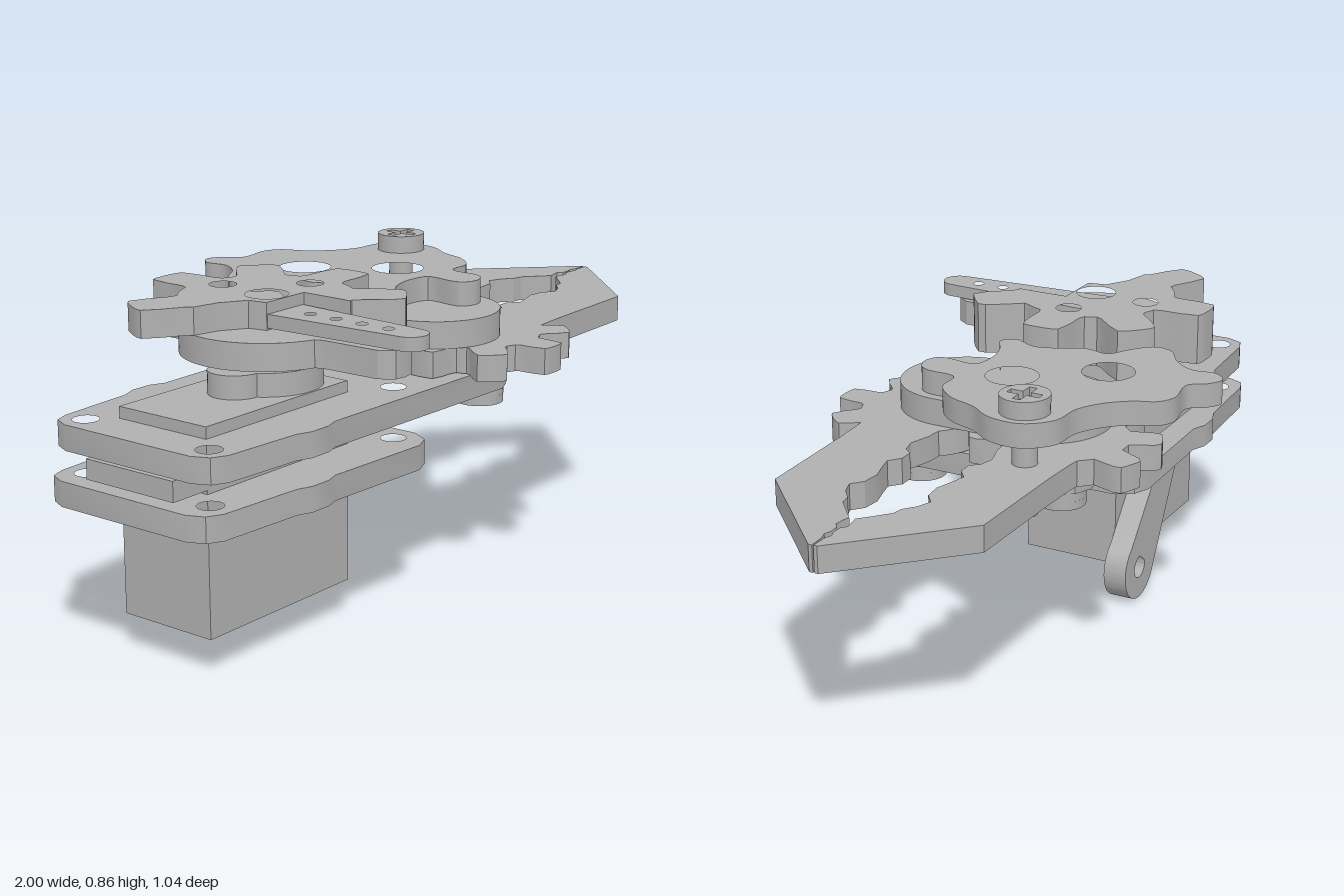
import * as THREE from 'three';
import { toCreasedNormals } from 'three/addons/utils/BufferGeometryUtils.js';

const metal = new THREE.MeshStandardMaterial({ color: 0xb0b0b0 });
metal.name = 'plainGrey';

export function createModel() {
  const model = new THREE.Group();
  model.name = 'servoGripper';

  function add(geometry, name, parent = model) {
    const mesh = new THREE.Mesh(geometry, metal);
    mesh.name = name;
    parent.add(mesh);
    return mesh;
  }
  function box(name, x0, x1, y0, y1, z0, z1) {
    add(new THREE.BoxGeometry(x1 - x0, y1 - y0, z1 - z0), name)
      .position.set((x0 + x1) / 2, (y0 + y1) / 2, (z0 + z1) / 2);
  }
  function cylinder(name, r, x, z, y0, y1, parent) {
    add(new THREE.CylinderGeometry(r, r, y1 - y0, 32), name, parent).position.set(x, (y0 + y1) / 2, z);
  }
  const circle = (x, z, r) => new THREE.Path().absarc(x, -z, r, 0, Math.PI * 2, true);

  // Flat part: outline of [x, z] points, extruded upwards from y0 to y1
  function slab(name, points, y0, y1, holes = [], parent = model) {
    const shape = new THREE.Shape(points.map(([x, z]) => new THREE.Vector2(x, -z)));
    holes.forEach(([x, z, r]) => shape.holes.push(circle(x, z, r)));
    const geo = new THREE.ExtrudeGeometry(shape, { depth: y1 - y0, bevelEnabled: false, curveSegments: 16 });
    geo.rotateX(-Math.PI / 2).translate(0, y0, 0);
    return add(toCreasedNormals(geo, 0.5), name, parent);
  }
  // Smooth closed outline through a few points
  function smooth(points, n = 160) {
    const curve = new THREE.CatmullRomCurve3(points.map(([x, z]) => new THREE.Vector3(x, 0, z)), true, 'centripetal');
    return curve.getPoints(n).slice(0, -1).map((p) => [p.x, p.z]);
  }
  // Toothed arc around a centre; angles in degrees, measured from +x towards the second axis
  function toothedArc(cx, cy, root, tip, teeth, from, to) {
    const points = [];
    for (let a = from; a <= to; a += 3) {
      const d = Math.min(...teeth.map((t) => Math.abs(((a - t + 540) % 360) - 180)));
      const r = root + (tip - root) * THREE.MathUtils.smoothstep(17 - d, 0, 9);
      const t = THREE.MathUtils.degToRad(a);
      points.push([cx + r * Math.cos(t), cy + r * Math.sin(t)]);
    }
    return points;
  }
  // Screw head with a cross recess, facing up from y = 0
  function screwHead(name, x, y, z, flip) {
    const head = new THREE.Group();
    head.name = name;
    cylinder('headBase', 0.065, 0, 0, 0, 0.025, head);
    const shape = new THREE.Shape().absarc(0, 0, 0.065, 0, Math.PI * 2, false);
    const a = 0.045, b = 0.011;
    shape.holes.push(new THREE.Path([
      [a, b], [b, b], [b, a], [-b, a], [-b, b], [-a, b], [-a, -b], [-b, -b], [-b, -a], [b, -a], [b, -b], [a, -b],
    ].map(([u, v]) => new THREE.Vector2(u, v))));
    const rim = new THREE.ExtrudeGeometry(shape, { depth: 0.022, bevelEnabled: false, curveSegments: 32 });
    rim.rotateX(-Math.PI / 2).translate(0, 0.025, 0);
    add(toCreasedNormals(rim, 0.5), 'slottedRim', head);
    head.position.set(x, y, z);
    if (flip) head.rotation.x = Math.PI;
    model.add(head);
  }

  // Mounting plates
  function plate(name, x0, x1, y0, y1, holes) {
    slab(name, [
      [x0, -0.17], [x0 + 0.02, -0.215], [x0 + 0.06, -0.23], [-0.7, -0.245], [-0.66, -0.262], [-0.6, -0.262], [-0.56, -0.245],
      [x1 - 0.08, -0.255], [x1 - 0.03, -0.235], [x1, -0.18],
      [x1, 0.25], [x1 - 0.03, 0.305], [x1 - 0.08, 0.327],
      [-0.56, 0.315], [-0.6, 0.328], [-0.66, 0.328], [-0.7, 0.313], [x0 + 0.06, 0.3], [x0 + 0.02, 0.28], [x0, 0.235],
    ], y0, y1, holes);
  }
  const mountHoles = [[-0.915, -0.165, 0.033], [-0.915, 0.235, 0.033], [-0.23, -0.165, 0.033], [-0.23, 0.235, 0.033]];
  plate('lowerPlate', -1, -0.16, 0.4, 0.465, mountHoles);
  plate('upperPlate', -0.98, 0.2, 0.535, 0.6, mountHoles);

  // Servo
  box('servoBody', -0.86, -0.34, 0.1, 0.63, -0.107, 0.175);
  box('servoFlange', -0.975, -0.22, 0.475, 0.527, -0.107, 0.175);
  const sx = -0.475, sz = 0.03;
  cylinder('servoBoss', 0.14, sx, sz, 0.63, 0.69);
  cylinder('servoSmallBoss', 0.07, -0.595, sz, 0.63, 0.69);
  cylinder('servoShaftCollar', 0.12, sx, sz, 0.69, 0.715);

  // Bracket arm hanging behind the servo
  const bracket = new THREE.Shape();
  const bx = -0.365, by = 0.095;
  bracket.absarc(bx, by, 0.095, Math.PI * 1.12, Math.PI * 2.3, false);
  bracket.lineTo(-0.505, 0.4);
  bracket.lineTo(-0.635, 0.4);
  bracket.holes.push(new THREE.Path().absarc(bx, by, 0.033, 0, Math.PI * 2, true));
  const bracketGeo = new THREE.ExtrudeGeometry(bracket, { depth: 0.068, bevelEnabled: false, curveSegments: 24 });
  bracketGeo.translate(0, 0, -0.175);
  add(toCreasedNormals(bracketGeo, 0.5), 'bracketArm');

  // Drive gear: lower layer with horn tray, upper layer notched around the horn
  const gearHoles = [[-0.46, -0.13, 0.035], [-0.315, 0.035, 0.035]];
  slab('driveGearLower', [
    ...toothedArc(sx, sz, 0.22, 0.345, [-90, -45, 0, 52], -120, 78),
    [-0.415, 0.26], [-0.42, 0.42], [-0.445, 0.455], [-0.475, 0.46], [-0.505, 0.455], [-0.53, 0.42], [-0.535, 0.26],
    ...toothedArc(sx, sz, 0.22, 0.22, [0], 108, 237),
  ], 0.715, 0.785, gearHoles);
  slab('driveGearUpper', [
    ...toothedArc(sx, sz, 0.22, 0.345, [-150, -90, -45, 0, 52], -168, 72),
    [-0.405, 0.2], [-0.405, 0.09], [-0.545, 0.09], [-0.555, 0.04], [-0.62, 0.0],
  ], 0.785, 0.855, [...gearHoles, [sx, sz, 0.055]]);

  // Servo horn
  const horn = [];
  for (let i = 0; i <= 24; i++) {
    const a = Math.PI * (i / 24);
    horn.push([sx + 0.045 * Math.cos(a), 0.475 + 0.045 * Math.sin(a)]);
  }
  for (let i = 0; i <= 24; i++) {
    const a = Math.PI * (1 + i / 24);
    horn.push([sx + 0.07 * Math.cos(a), sz + 0.07 * Math.sin(a)]);
  }
  slab('servoHorn', horn, 0.79, 0.825, [0.17, 0.25, 0.33, 0.41].map((z) => [sx, z, 0.015]));

  // Gripper jaws, mirrored about the centre line; teeth are offset by half a pitch
  const axis = 0.025, tips = 0.012;
  for (const [name, side, phase] of [['leftJaw', 1, 0], ['rightJaw', -1, 22.5]]) {
    const teeth = [45, 90, 135, 180, 225, 270].map((t) => t + phase);
    const outline = [
      ...toothedArc(0.13, 0.21, 0.17, 0.25, teeth, 36, 318),
      [0.3, 0.1], [0.36, 0.118], [0.4, 0.108], [0.42, 0.085], [0.46, 0.085], [0.49, 0.11], [0.53, 0.1], [0.58, 0.085],
      [0.63, 0.09], [0.66, 0.115], [0.7, 0.1], [0.73, 0.075], [0.76, 0.07], [0.8, 0.035], [0.83, 0.008],
      [0.85, 0.013], [0.875, 0.016], [0.89, 0.004], [0.92, 0.004], [0.935, 0.01], [0.955, 0.003], [1, 0.002],
      [1, 0.012], [0.72, 0.292], [0.4, 0.3], [0.3, 0.306],
    ].map(([x, w]) => [x, THREE.MathUtils.lerp(axis, tips, THREE.MathUtils.clamp(x, 0, 1)) + side * w]);
    slab(name, outline, 0.603, 0.673);
  }

  // Link spacer between jaws and sector gear
  const spacer = [];
  for (let i = 0; i < 64; i++) {
    const a = (i / 64) * Math.PI * 2;
    spacer.push([0.05 + 0.173 * Math.cos(a), (Math.sin(a) >= 0 ? 0.155 : -0.09) + 0.173 * Math.sin(a)]);
  }
  slab('linkSpacer', spacer, 0.673, 0.745);

  // Driven sector gear on top
  slab('sectorGear', smooth([
    [-0.135, -0.485], [-0.095, -0.52], [-0.05, -0.495], [-0.02, -0.455], [0.08, -0.465], [0.125, -0.44], [0.15, -0.385],
    [0.2, -0.325], [0.27, -0.285], [0.36, -0.275], [0.42, -0.21], [0.415, -0.12], [0.37, -0.05], [0.34, 0.03],
    [0.28, 0.09], [0.205, 0.1], [0.195, 0.18], [0.18, 0.21], [0.135, 0.228], [0.095, 0.21], [0.09, 0.18], [0.095, 0.1],
    [0.03, 0.085], [-0.04, 0.1], [-0.1, 0.13], [-0.13, 0.1], [-0.1, 0.03], [-0.12, -0.04], [-0.15, -0.1],
    [-0.14, -0.17], [-0.2, -0.21], [-0.25, -0.26], [-0.24, -0.31], [-0.17, -0.36], [-0.13, -0.42],
  ]), 0.745, 0.81, [[-0.015, -0.235, 0.07], [0.13, -0.03, 0.07]]);

  // Screws: one from above through the sector gear, two pivots from below
  cylinder('jawPin', 0.033, 0.34, -0.18, 0.537, 0.81);
  screwHead('jawPinHead', 0.34, 0.81, -0.18, false);
  for (const z of [-0.175, 0.245]) {
    cylinder('pivotPin', 0.033, 0.13, z, 0.53, 0.74);
    screwHead('pivotHead', 0.13, 0.535, z, true);
  }
  return model;
}
